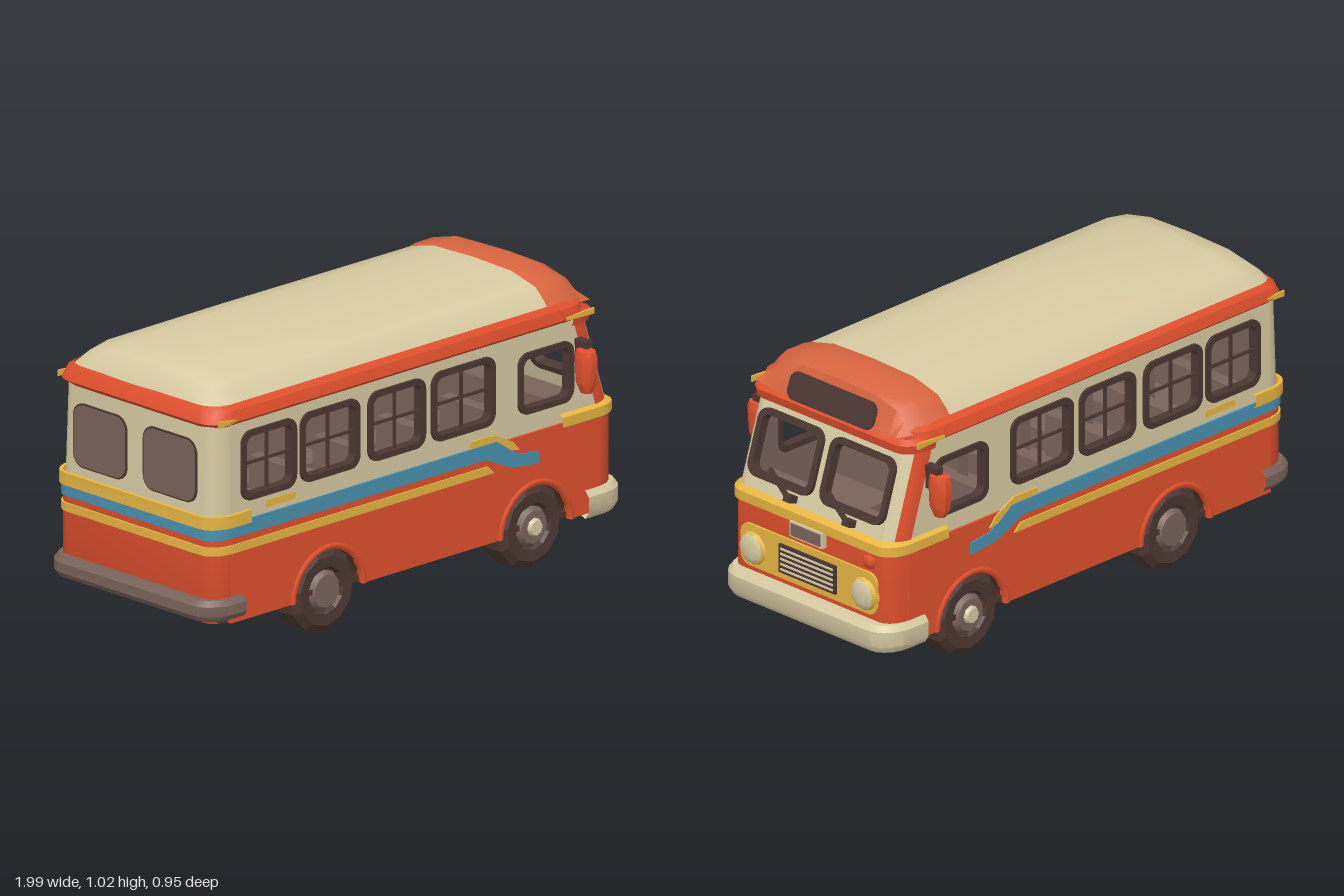
import * as THREE from 'three';
import { toCreasedNormals } from 'three/addons/utils/BufferGeometryUtils.js';

const mat = (name, color) => new THREE.MeshStandardMaterial({ name, color, side: THREE.DoubleSide });
const M = {
  red: mat('body red', 0xe0502d), orange: mat('roof orange', 0xd7643f), cream: mat('cream', 0xd8cba3),
  yellow: mat('yellow', 0xebb944), blue: mat('stripe blue', 0x4a91b0), dark: mat('dark brown', 0x4c3732),
  brown: mat('interior brown', 0x7a645b), under: mat('underside brown', 0x523425),
};

function add(parent, name, geo, material, x = 0, y = 0, z = 0) {
  const m = new THREE.Mesh(geo, material);
  m.name = name;
  m.position.set(x, y, z);
  parent.add(m);
  return m;
}
const box = (p, name, m, w, h, d, x, y, z) => add(p, name, new THREE.BoxGeometry(w, h, d), m, x, y, z);

// Surface through successive rows of points
function loft(rows, closed = false, crease = 0.6) {
  const n = rows[0].length, idx = [];
  for (let i = 0; i < rows.length - 1; i++)
    for (let j = 0; j < (closed ? n : n - 1); j++) {
      const a = i * n + j, b = i * n + (j + 1) % n;
      idx.push(a, b, a + n, b, b + n, a + n);
    }
  const g = new THREE.BufferGeometry();
  g.setAttribute('position', new THREE.Float32BufferAttribute(rows.flat(2), 3));
  g.setIndex(idx);
  return toCreasedNormals(g, crease);
}

// Rounded rectangle, as a shape or as a hole
function rr([x0, y0, x1, y1], inset, r, C = THREE.Shape) {
  x0 += inset; y0 += inset; x1 -= inset; y1 -= inset;
  const s = new C();
  s.absarc(x1 - r, y1 - r, r, 0, Math.PI / 2);
  s.absarc(x0 + r, y1 - r, r, Math.PI / 2, Math.PI);
  s.absarc(x0 + r, y0 + r, r, Math.PI, Math.PI * 1.5);
  s.absarc(x1 - r, y0 + r, r, Math.PI * 1.5, Math.PI * 2);
  s.closePath();
  return s;
}
const poly = pts => new THREE.Shape(pts.map(p => new THREE.Vector2(...p)));
const slab = (shape, depth) => new THREE.ExtrudeGeometry(shape, { depth, bevelEnabled: false, curveSegments: 5 });
const holed = (shape, wins) => { shape.holes = wins.map(w => rr(w, 0.01, 0.035, THREE.Path)); return shape; };
function frame(p, win, z, depth) {
  const s = rr(win, 0, 0.045);
  s.holes.push(rr(win, 0.022, 0.03, THREE.Path));
  add(p, 'windowFrame', slab(s, depth), M.dark, 0, 0, z);
}

// U-shaped band round the front (s = 1) or rear (s = -1) end; profile is [y, offset]
const RX = 0.085, RZ = 0.06;
function endBand(p, name, m, s, x, w, profile, back = 0) {
  const rows = profile.map(([y, o]) => {
    const half = [[x - RX - back, w + o]];
    for (let i = 0; i <= 5; i++) {
      const a = Math.PI / 2 * (1 - i / 5);
      half.push([x - RX + (RX + o) * Math.cos(a), w - RZ + (RZ + o) * Math.sin(a)]);
    }
    return [...half, ...half.slice().reverse().map(([a, b]) => [a, -b])].map(([a, b]) => [s * a, y, b]);
  });
  return add(p, name, loft(rows), m);
}
const stripe = (y0, y1, o) => [[y0, 0], [y0, o], [y1, o], [y1, 0]];

// Closed rounded outline in plan
function planRing([y, xb, xf, w]) {
  const r = 0.08, pts = [];
  [[xf - r, w - r], [xb + r, w - r], [xb + r, r - w], [xf - r, r - w]].forEach(([cx, cz], k) => {
    for (let i = 0; i <= 4; i++) {
      const a = (k + i / 4) * Math.PI / 2;
      pts.push([cx + r * Math.cos(a), y, cz + r * Math.sin(a)]);
    }
  });
  return pts;
}

// Arched roof from sections [x, half width, rise]
const ARCH = [[1, 0], [0.9, 0.4], [0.8, 0.7], [0.5, 0.95], [0, 1]];
const roof = secs => loft(secs.map(([x, w, h]) =>
  [...ARCH, ...ARCH.slice(0, 4).reverse().map(([a, b]) => [-a, b])].map(([a, b]) => [x, 0.895 + h * b, a * w])), false, 0.7);

const WINDOWS = [[-0.83, 0.57, -0.57, 0.82], [-0.55, 0.57, -0.27, 0.82], [-0.23, 0.57, 0.04, 0.82],
  [0.07, 0.57, 0.37, 0.82], [0.48, 0.57, 0.74, 0.79]];
const AXLES = [-0.42, 0.56];

function buildSide(s) {
  const g = new THREE.Group();
  g.name = s > 0 ? 'rightHandSide' : 'leftHandSide';
  g.scale.z = s;
  // Walls and inner lining
  const low = new THREE.Shape();
  low.moveTo(-0.88, 0.5);
  low.lineTo(-0.88, 0.15);
  for (const c of AXLES) low.absarc(c, 0.15, 0.16, Math.PI, 0, true);
  low.lineTo(0.865, 0.15);
  low.lineTo(0.865, 0.5);
  add(g, 'lowerWall', slab(low, 0.02), M.red, 0, 0, 0.37);
  add(g, 'upperWall', slab(holed(poly([[-0.88, 0.49], [0.863, 0.49], [0.75, 0.87], [-0.88, 0.87]]), WINDOWS), 0.015), M.cream, 0, 0, 0.367);
  add(g, 'lining', slab(holed(poly([[-0.88, 0.34], [0.85, 0.34], [0.85, 0.5], [0.74, 0.87], [-0.88, 0.87]]), WINDOWS), 0.008), M.brown, 0, 0, 0.358);
  // Windows with thin crossbars
  WINDOWS.forEach((w, i) => {
    frame(g, w, 0.356, 0.036);
    if (i === 4) return;
    const cx = (w[0] + w[2]) / 2;
    box(g, 'windowBar', M.dark, 0.009, 0.22, 0.01, cx, 0.695, 0.375);
    box(g, 'windowBar', M.dark, w[2] - w[0] - 0.03, 0.009, 0.01, cx, 0.7, 0.375);
  });
  // Painted stripes
  const paint = (name, m, pts, z = 0.388) => add(g, name, slab(poly(pts), 0.007), m, 0, 0, z);
  paint('blueStripe', M.blue, [[-0.88, 0.455], [0.32, 0.455], [0.44, 0.4], [0.57, 0.385], [0.57, 0.43], [0.48, 0.44], [0.38, 0.508], [-0.88, 0.508]]);
  paint('yellowStripe', M.yellow, [[-0.88, 0.4], [0.36, 0.4], [0.33, 0.43], [-0.88, 0.43]]);
  paint('yellowSweep', M.yellow, [[0.25, 0.51], [0.37, 0.51], [0.44, 0.462], [0.48, 0.455], [0.45, 0.49], [0.36, 0.535], [0.25, 0.535]]);
  paint('yellowDash', M.yellow, [[-0.71, 0.525], [-0.57, 0.525], [-0.57, 0.55], [-0.71, 0.55]], 0.379);
  paint('frontEaveTrim', M.yellow, [[0.7, 0.866], [0.83, 0.862], [0.83, 0.884], [0.7, 0.876]], 0.392);
  paint('rearEaveTrim', M.yellow, [[-0.94, 0.862], [-0.86, 0.866], [-0.86, 0.878], [-0.94, 0.884]], 0.388);
  // Wheels, arches and wheel wells
  for (const c of AXLES) {
    add(g, 'wheelArch', new THREE.TorusGeometry(0.168, 0.014, 6, 14, Math.PI), M.red, c, 0.15, 0.385);
    const well = add(g, 'wheelWell', new THREE.CylinderGeometry(0.16, 0.16, 0.18, 12, 1, true, Math.PI / 2, Math.PI), M.under, c, 0.15, 0.29);
    well.rotation.x = Math.PI / 2;
    const tyre = new THREE.LatheGeometry([[0, -0.065], [0.12, -0.065], [0.152, -0.04], [0.152, 0.045], [0.125, 0.065], [0.085, 0.062], [0.075, 0.05], [0, 0.05]]
      .map(p => new THREE.Vector2(...p)), 11);
    add(g, 'tyre', toCreasedNormals(tyre, 0.3), M.dark, c, 0.157, 0.315).rotation.x = Math.PI / 2;
    add(g, 'hub', new THREE.CylinderGeometry(0.06, 0.078, 0.025, 10), M.brown, c, 0.157, 0.37).rotation.x = Math.PI / 2;
    if (c > 0) add(g, 'hubCap', new THREE.CylinderGeometry(0.027, 0.037, 0.02, 8), M.cream, c, 0.157, 0.386).rotation.x = Math.PI / 2;
  }
  // Windscreen corner post: cream in front, red at the side
  const post = (name, m, a0, a1) => add(g, name, loft([[0.49, 0.945], [0.86, 0.826]].map(([y, x]) =>
    [0, 1, 2, 3].map(i => {
      const a = a0 + (a1 - a0) * i / 3;
      return [x - RX + RX * Math.cos(a), y, 0.324 + RZ * Math.sin(a)];
    }))), m);
  post('frontPost', M.cream, 0, 0.75);
  post('frontPostSide', M.red, 0.75, Math.PI / 2);
  // Door mirror on its arm
  add(g, 'mirror', loft([[0.6, 0.15], [0.605, 0.5], [0.64, 0.9], [0.73, 1], [0.755, 0.85], [0.76, 0.3]].map(([y, k]) =>
    [0, 1, 2, 3, 4, 5, 6, 7].map(i => {
      const a = (i + 0.5) * Math.PI / 4;
      return [0.757 + 0.036 * k * Math.cos(a), y, 0.432 + 0.046 * k * Math.sin(a)];
    })), true, 0.7), M.red);
  box(g, 'mirrorArm', M.dark, 0.03, 0.025, 0.07, 0.765, 0.775, 0.405);
  box(g, 'mirrorStrut', M.dark, 0.025, 0.08, 0.016, 0.765, 0.74, 0.386);
  return g;
}

function buildFront(g) {
  endBand(g, 'frontWall', M.red, 1, 0.945, 0.388, [[0.15, -0.01], [0.2, 0], [0.5, 0]]);
  endBand(g, 'frontBelt', M.yellow, 1, 0.945, 0.385, [[0.478, 0], [0.487, 0.014], [0.522, 0.014], [0.535, -0.01]], 0.18);
  endBand(g, 'frontBumper', M.cream, 1, 0.955, 0.375, [[0.15, -0.02], [0.135, 0.02], [0.16, 0.036], [0.215, 0.036], [0.235, 0.02], [0.235, -0.02]], 0.08);
  // Nose panel, grille, lamps and badge plate
  const nose = new THREE.Group();
  nose.name = 'nose';
  nose.position.x = 0.945;
  nose.rotation.y = Math.PI / 2;
  g.add(nose);
  add(nose, 'nosePanel', slab(rr([-0.325, 0.255, 0.325, 0.41], 0, 0.04), 0.009), M.yellow);
  box(nose, 'grille', M.dark, 0.27, 0.105, 0.02, 0, 0.333, 0.008);
  for (let i = 0; i < 5; i++) box(nose, 'grilleSlat', M.cream, 0.25, 0.007, 0.008, 0, 0.295 + i * 0.019, 0.018);
  box(nose, 'plateRim', M.cream, 0.155, 0.058, 0.02, 0, 0.462, 0.012);
  box(nose, 'plate', M.brown, 0.14, 0.045, 0.008, 0, 0.462, 0.021);
  for (const s of [-1, 1]) {
    const bezel = add(nose, 'headlampBezel', new THREE.CylinderGeometry(0.055, 0.066, 0.02, 12), M.yellow, s * 0.265, 0.325, 0.01);
    bezel.rotation.x = Math.PI / 2;
    const lamp = add(nose, 'headlamp', new THREE.SphereGeometry(0.057, 10, 6), M.cream, s * 0.265, 0.325, 0.015);
    lamp.scale.z = 0.3;
  }
  const signal = add(nose, 'turnSignal', new THREE.SphereGeometry(0.034, 6, 4), M.red, 0.28, 0.446, 0);
  signal.scale.set(1, 0.8, 0.5);
  // Sloping windscreen
  const t = Math.atan2(0.119, 0.37), k = 1 / Math.cos(t);
  const screen = new THREE.Group();
  screen.name = 'windscreen';
  screen.position.set(0.945, 0.49, 0);
  screen.rotation.set(-t, Math.PI / 2, 0, 'YXZ');
  g.add(screen);
  const wins = [[-0.325, 0.085 * k, -0.018, 0.315 * k], [0.018, 0.085 * k, 0.325, 0.315 * k]];
  add(screen, 'windscreenWall', slab(holed(poly([[-0.326, 0], [0.326, 0], [0.326, 0.37 * k], [-0.326, 0.37 * k]]), wins), 0.015), M.cream, 0, 0, -0.015);
  wins.forEach(w => frame(screen, w, -0.02, 0.036));
  for (const x of [-0.15, 0.13]) {
    const wiper = box(screen, 'wiper', M.dark, 0.14, 0.016, 0.012, x, 0.1, 0.03);
    wiper.rotation.z = -0.57;
    box(screen, 'wiperPivot', M.dark, 0.035, 0.025, 0.04, x + 0.05, 0.065, 0.015);
  }
}

function buildRear(g) {
  endBand(g, 'rearWall', M.red, -1, 0.96, 0.388, [[0.15, -0.02], [0.2, 0], [0.5, 0]]);
  endBand(g, 'rearUpperWall', M.cream, -1, 0.955, 0.382, [[0.49, 0], [0.87, -0.012]]);
  endBand(g, 'rearLining', M.brown, -1, 0.94, 0.366, [[0.34, 0], [0.86, -0.01]]);
  endBand(g, 'rearBelt', M.yellow, -1, 0.96, 0.388, stripe(0.495, 0.54, 0.014), 0.08);
  endBand(g, 'rearBlueStripe', M.blue, -1, 0.96, 0.388, stripe(0.455, 0.508, 0.007), 0.01);
  endBand(g, 'rearYellowStripe', M.yellow, -1, 0.96, 0.388, stripe(0.4, 0.43, 0.007), 0.01);
  endBand(g, 'rearBumper', M.brown, -1, 0.965, 0.38, [[0.18, -0.02], [0.17, 0.02], [0.19, 0.034], [0.225, 0.034], [0.245, 0.018], [0.245, -0.02]], 0.05);
  const back = new THREE.Group();
  back.name = 'rearWindows';
  back.position.set(-0.955, 0, 0);
  back.rotation.y = -Math.PI / 2;
  g.add(back);
  for (const w of [[-0.3, 0.57, -0.04, 0.8], [0.04, 0.57, 0.3, 0.8]]) {
    add(back, 'rearWindowRim', slab(rr(w, 0, 0.05), 0.006), M.dark, 0, 0, -0.002);
    add(back, 'rearPane', slab(rr(w, 0.006, 0.045), 0.006), M.brown, 0, 0, 0.001);
  }
}

export function createModel() {
  const bus = new THREE.Group();
  bus.name = 'bus';
  bus.add(buildSide(1), buildSide(-1));
  buildFront(bus);
  buildRear(bus);
  // Roof, eave and front cap
  add(bus, 'roof', roof([[-0.95, 0.33, 0], [-0.925, 0.36, 0.055], [-0.88, 0.372, 0.1], [-0.79, 0.378, 0.12], [-0.25, 0.38, 0.123], [0.66, 0.38, 0.118]]), M.cream);
  add(bus, 'frontCap', roof([[0.64, 0.382, 0.119], [0.67, 0.385, 0.125], [0.75, 0.383, 0.127], [0.81, 0.35, 0.1], [0.855, 0.35, -0.02]]), M.orange);
  add(bus, 'eave', loft([[0.85, -0.945, 0.8, 0.376], [0.868, -0.965, 0.82, 0.396], [0.905, -0.95, 0.82, 0.385], [0.922, -0.937, 0.8, 0.364]].map(planRing), true), M.red);
  endBand(bus, 'capBrim', M.red, 1, 0.85, 0.38, [[0.832, -0.02], [0.836, 0.008], [0.868, 0.015], [0.885, -0.005]], 0.03);
  const sign = add(bus, 'destinationWindow', slab(rr([-0.205, -0.05, 0.205, 0.05], 0, 0.035), 0.009), M.dark, 0.836, 0.92, 0);
  sign.rotation.set(-0.36, Math.PI / 2, 0, 'YXZ');
  // Floors, ceiling, dashboard and seats
  box(bus, 'underside', M.under, 1.8, 0.02, 0.75, -0.02, 0.165, 0);
  box(bus, 'cabinFloor', M.brown, 1.8, 0.01, 0.74, -0.03, 0.345, 0);
  box(bus, 'ceiling', M.brown, 1.7, 0.01, 0.72, -0.07, 0.86, 0);
  box(bus, 'dashboard', M.brown, 0.13, 0.18, 0.7, 0.83, 0.44, 0);
  for (const x of [-0.75, -0.45, -0.15, 0.15, 0.45])
    for (const z of [-0.2, 0.2]) {
      box(bus, 'seatBack', M.brown, 0.05, 0.23, 0.28, x, 0.465, z);
      box(bus, 'seat', M.brown, 0.18, 0.08, 0.28, x + 0.1, 0.385, z);
    }
  return bus;
}
